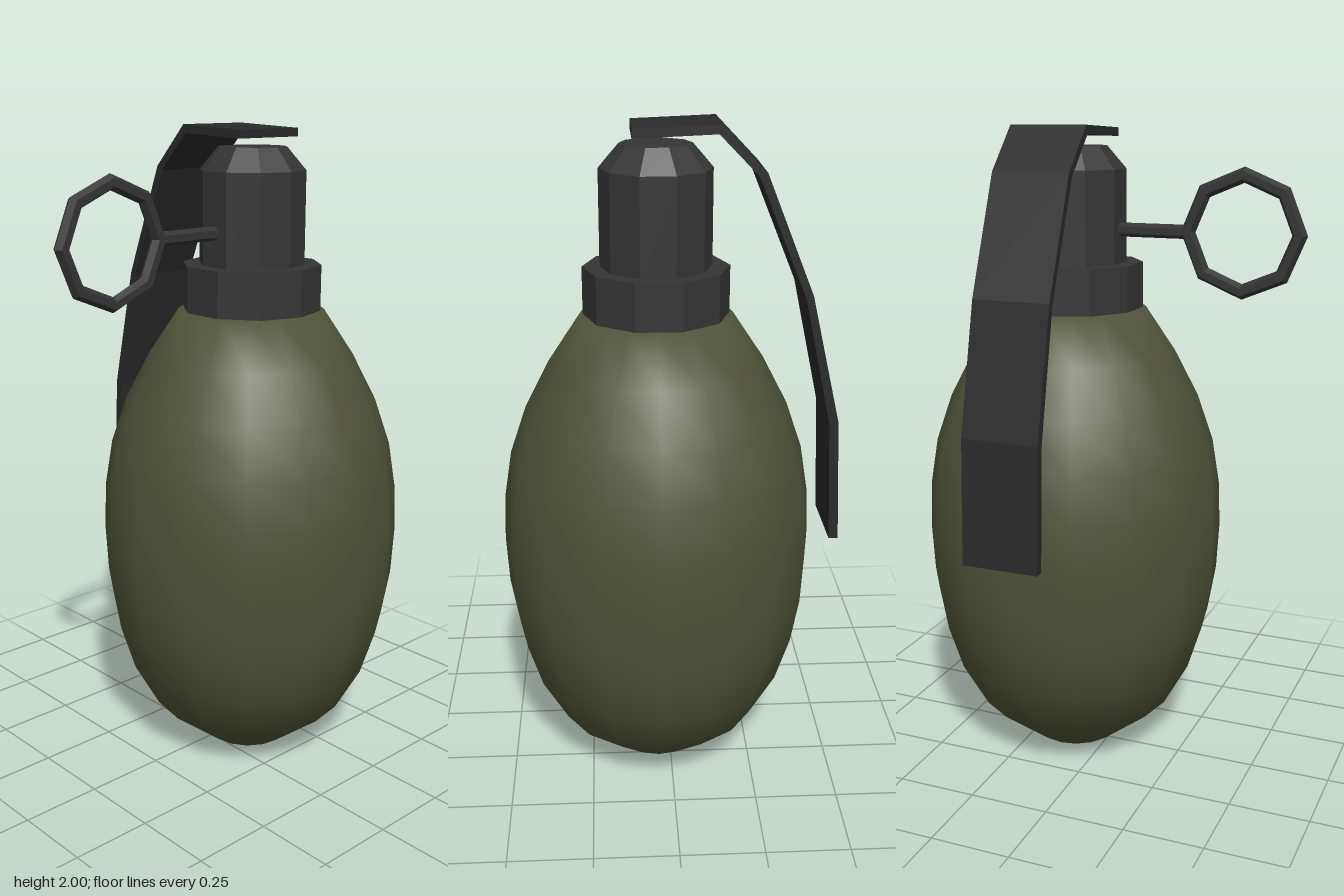
import * as THREE from 'three';

const CX = 0.037, CZ = -0.13; // axis of the body

export function createModel() {
  const model = new THREE.Group();
  const olive = new THREE.MeshStandardMaterial({ color: 0x4f5337 });
  olive.name = 'olive';
  const darkMetal = new THREE.MeshStandardMaterial({ color: 0x353535 });
  darkMetal.name = 'darkMetal';
  const leverMetal = new THREE.MeshStandardMaterial({ color: 0x2a2a2a });
  leverMetal.name = 'leverMetal';

  const add = (name, geometry, material, x, y, z) => {
    const mesh = new THREE.Mesh(geometry, material);
    mesh.name = name;
    mesh.position.set(x, y, z);
    model.add(mesh);
    return mesh;
  };

  // Gives every face its own normal
  const faceted = (geometry) => {
    const flat = geometry.index ? geometry.toNonIndexed() : geometry;
    flat.computeVertexNormals();
    return flat;
  };

  // Smooth egg-shaped body
  const profile = [
    [0, 0], [0.135, 0], [0.315, 0.145], [0.395, 0.29], [0.44, 0.435], [0.465, 0.58],
    [0.473, 0.73], [0.467, 0.875], [0.443, 1.02], [0.393, 1.165], [0.318, 1.31],
    [0.225, 1.45], [0, 1.452],
  ].map(([r, y]) => new THREE.Vector2(r, y));
  add('body', new THREE.LatheGeometry(profile, 16), olive, CX, 0, CZ);

  // Ten-sided fuse: collar, neck and chamfered cap
  const drum = (name, rTop, rBottom, y0, y1) => add(
    name,
    faceted(new THREE.CylinderGeometry(rTop, rBottom, y1 - y0, 10, 1, false, Math.PI / 2)),
    darkMetal, CX, (y0 + y1) / 2, CZ,
  );
  drum('collar', 0.215, 0.215, 1.45, 1.59);
  drum('neck', 0.163, 0.163, 1.59, 1.87);
  drum('cap', 0.104, 0.163, 1.87, 1.938);

  // Bent safety lever, extruded across its width
  const outline = [
    [-0.512, 0.762], [-0.495, 1.14], [-0.405, 1.525], [-0.264, 1.872], [-0.14, 2.0], [0.107, 1.99],
    [0.107, 1.965], [-0.13, 1.975], [-0.243, 1.86], [-0.385, 1.515], [-0.468, 1.135], [-0.484, 0.762],
  ].map(([x, y]) => new THREE.Vector2(x, y));
  const lever = new THREE.ExtrudeGeometry(new THREE.Shape(outline), { depth: 0.24, bevelEnabled: false });
  add('lever', faceted(lever), leverMetal, 0, 0, -0.25);

  // Pull pin and its octagonal ring
  const pin = add('pin', faceted(new THREE.CylinderGeometry(0.021, 0.021, 0.25, 6)), darkMetal, CX, 1.692, 0.105);
  pin.rotation.x = Math.PI / 2;
  const ring = add('pullRing', faceted(new THREE.TorusGeometry(0.169, 0.023, 6, 8)), darkMetal, CX, 1.692, 0.41);
  ring.rotation.y = Math.PI / 2;

  return model;
}
